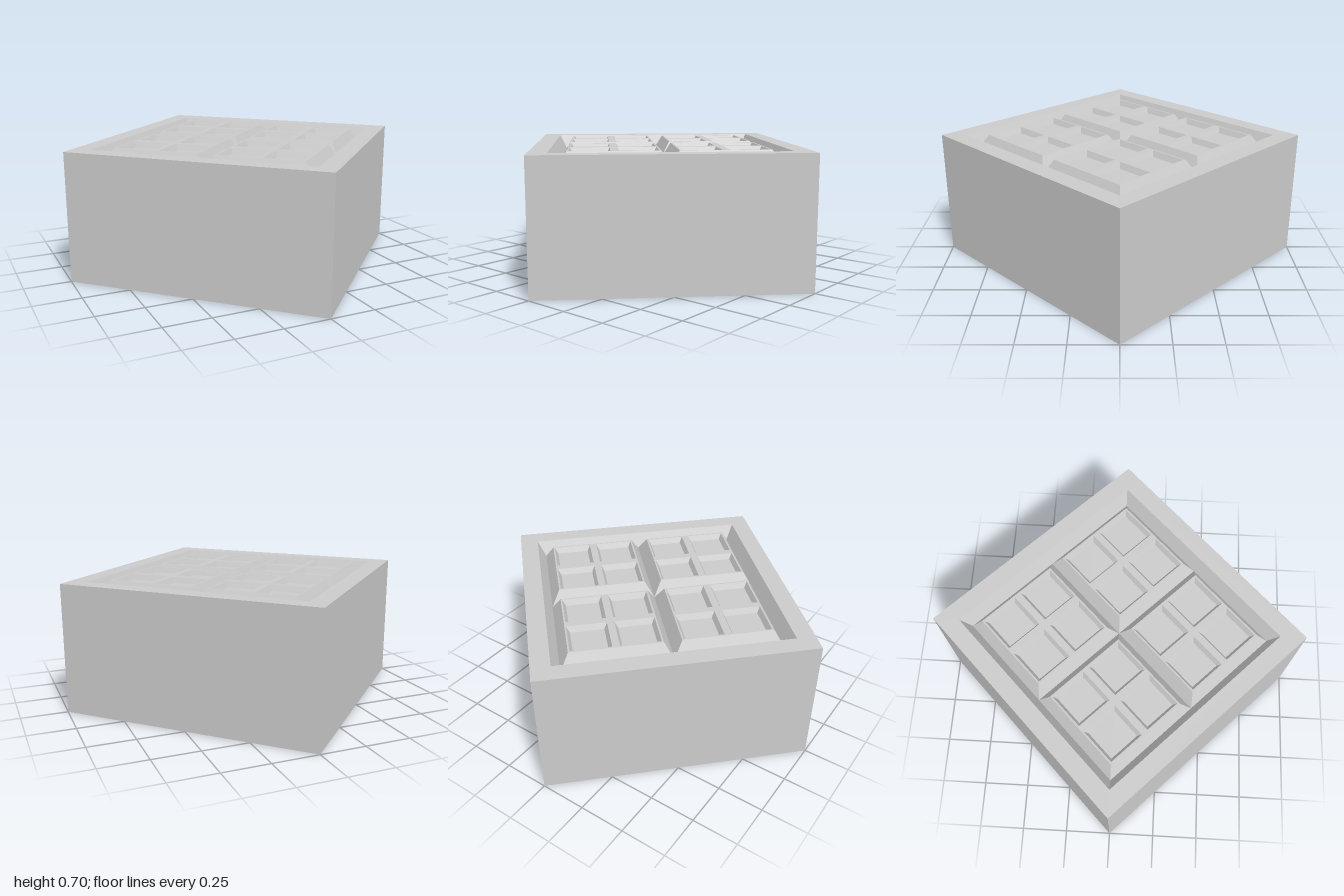
import * as THREE from 'three';

const HEIGHT = 0.705;
const GROOVE = 0.08;   // depth of the V grooves
const POCKET = 0.03;   // depth of the small pockets
const PANEL = 0.335;   // corner radius of a panel's flat top
const CELL_OUT = 0.322, CELL_IN = 0.027; // pocket limits inside a panel
const CELL_R = (CELL_OUT - CELL_IN) / 2;
const CELL_C = (CELL_OUT + CELL_IN) / 2;
const FLOOR_R = CELL_R - 0.023;

const material = new THREE.MeshStandardMaterial({
  color: 0xcccccc, flatShading: true, side: THREE.DoubleSide,
});

// The four places around a centre, towards the diamond's corners
const around = (d) => [[d, 0], [0, d], [-d, 0], [0, -d]];

function add(parent, name, geometry, x = 0, y = 0, z = 0) {
  const mesh = new THREE.Mesh(geometry, material);
  mesh.name = name;
  mesh.position.set(x, y, z);
  parent.add(mesh);
  return mesh;
}

// Diamond outline as 2D points
const diamond = (r, cx = 0, cy = 0) =>
  around(r).map(([x, y]) => new THREE.Vector2(cx + x, cy + y));

// Flat upward-facing diamond with diamond holes given as [radius, x, y]
function plate(r, holes = []) {
  const shape = new THREE.Shape(diamond(r));
  for (const h of holes) shape.holes.push(new THREE.Path(diamond(...h).reverse()));
  return new THREE.ShapeGeometry(shape).rotateX(-Math.PI / 2);
}

// Four sloping walls hanging down from y = 0
const slope = (rTop, rBottom, depth) =>
  new THREE.CylinderGeometry(rTop, rBottom, depth, 4, 1, true).translate(0, -depth / 2, 0);

// One raised panel with four bevelled pockets
function createPanel() {
  const panel = new THREE.Group();
  panel.name = 'panel';
  const cells = around(CELL_C);
  add(panel, 'panelTop', plate(PANEL, cells.map(([x, y]) => [CELL_R, x, y])));
  add(panel, 'panelSlope', slope(PANEL, 0.4, GROOVE));
  for (const [x, z] of cells) {
    add(panel, 'pocketBevel', slope(CELL_R, FLOOR_R, POCKET), x, 0, z);
    add(panel, 'pocketFloor', plate(FLOOR_R), x, -POCKET, z);
  }
  return panel;
}

// Carved face: border, sloping outer wall and four panels
function createCarvedFace(name) {
  const face = new THREE.Group();
  face.name = name;
  add(face, 'border', plate(1, [[0.86, 0, 0]]));
  add(face, 'grooveWall', slope(0.86, 0.8, GROOVE));
  for (const [x, z] of around(0.4)) {
    const panel = createPanel();
    panel.position.set(x, 0, z);
    face.add(panel);
  }
  return face;
}

export function createModel() {
  const model = new THREE.Group();
  model.name = 'carvedBlock';

  // Plain side walls
  add(model, 'sideWalls', slope(1, 1, HEIGHT), 0, HEIGHT, 0);

  // Same carving above and below
  const top = createCarvedFace('topFace');
  top.position.y = HEIGHT;
  const bottom = createCarvedFace('bottomFace');
  bottom.rotation.x = Math.PI;
  model.add(top, bottom);
  return model;
}
